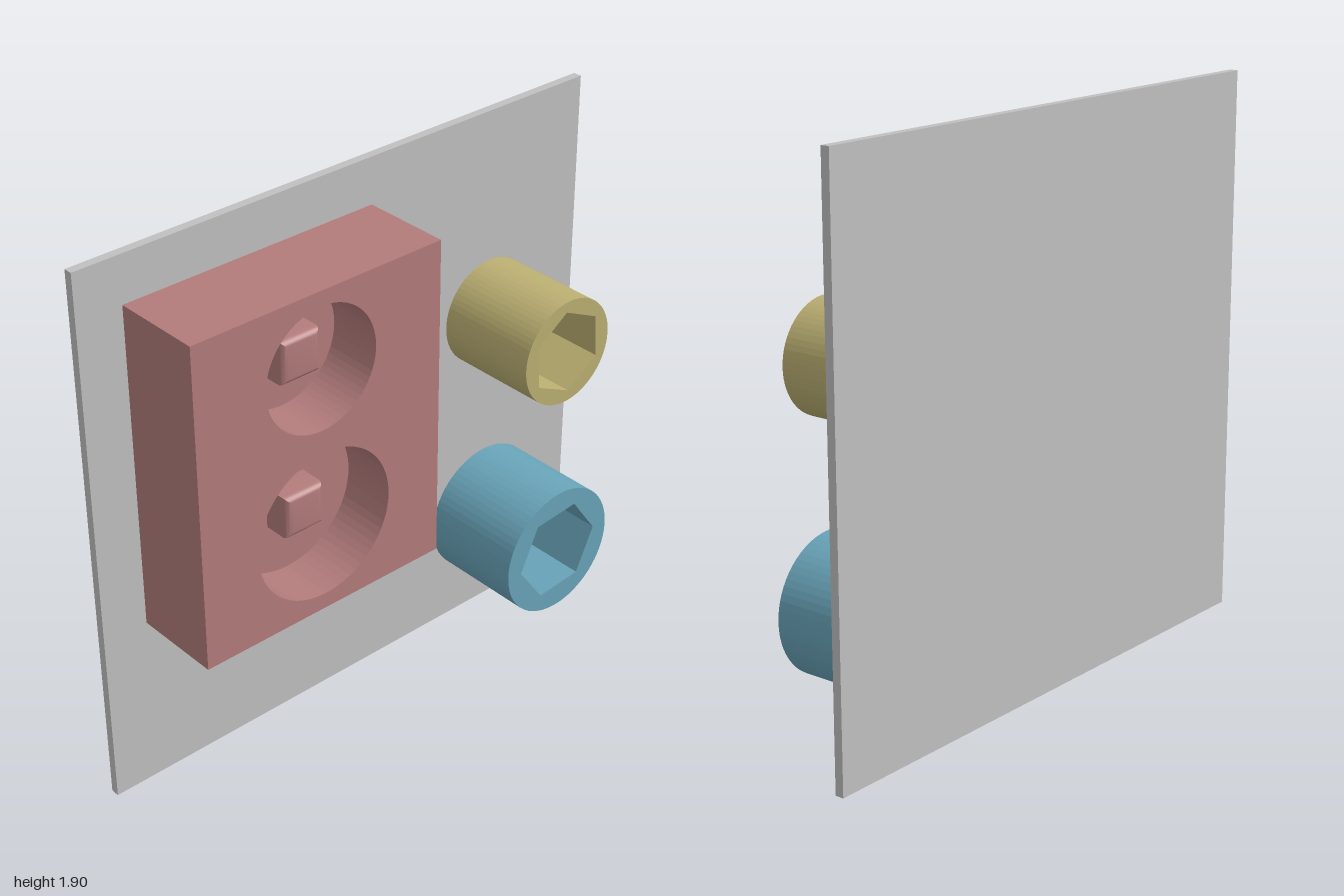
import * as THREE from 'three';
import { toCreasedNormals } from 'three/addons/utils/BufferGeometryUtils.js';

const material = (name, color) => new THREE.MeshStandardMaterial({ name, color });

const PLATE_FRONT = -0.17;

function addMesh(parent, name, geometry, mat) {
  const mesh = new THREE.Mesh(geometry, mat);
  mesh.name = name;
  parent.add(mesh);
  return mesh;
}

// Extrude a shape along z between two depths
function slab(shape, z0, z1) {
  return new THREE.ExtrudeGeometry(shape, {
    depth: z1 - z0, bevelEnabled: false, curveSegments: 32,
  }).translate(0, 0, z0);
}

function circle(ShapeType, x, y, r) {
  const s = new ShapeType();
  s.absarc(x, y, r, 0, Math.PI * 2, false);
  return s;
}

function rectangle(x0, y0, x1, y1) {
  return new THREE.Shape([[x0, y0], [x1, y0], [x1, y1], [x0, y1]]
    .map(([x, y]) => new THREE.Vector2(x, y)));
}

function hexagon(r, degrees) {
  const points = [];
  for (let i = 0; i < 6; i++) {
    const a = THREE.MathUtils.degToRad(degrees + i * 60);
    points.push(new THREE.Vector2(r * Math.cos(a), r * Math.sin(a)));
  }
  return new THREE.Path(points);
}

// Square peg pointing to +z, with rounded front edges
function pegGeometry(half, height, round) {
  const profile = [new THREE.Vector2(half, 0)];
  for (let i = 0; i <= 5; i++) {
    const a = (i / 5) * Math.PI / 2;
    profile.push(new THREE.Vector2(
      half - round + round * Math.cos(a), height - round + round * Math.sin(a)));
  }
  profile.push(new THREE.Vector2(0, height));
  profile.forEach((p) => { p.x *= Math.SQRT2; });
  const g = new THREE.LatheGeometry(profile, 4, Math.PI / 4).rotateX(Math.PI / 2);
  g.deleteAttribute('normal');
  return toCreasedNormals(g, 0.6);
}

// Round post with a hexagonal recess in its front end
function socketPost(name, x, y, r, hexRadius, hexAngle, mat) {
  const group = new THREE.Group();
  group.name = name;
  const floor = -0.02;
  const rim = circle(THREE.Shape, 0, 0, r);
  rim.holes.push(hexagon(hexRadius, hexAngle));
  addMesh(group, name + 'Rim', slab(rim, floor, 0.2), mat);
  addMesh(group, name + 'Base', slab(circle(THREE.Shape, 0, 0, r), PLATE_FRONT, floor), mat);
  group.position.set(x, y, 0);
  return group;
}

export function createModel() {
  const model = new THREE.Group();
  model.name = 'wallPanel';
  const gray = material('plate gray', 0xc0c0c0);
  const red = material('dusty red', 0xb27b7b);
  const yellow = material('muted yellow', 0xbbaf72);
  const blue = material('muted blue', 0x69a4b9);

  // Back plate
  addMesh(model, 'backPlate', slab(rectangle(-1, 0, 1, 1.9), -0.2, PLATE_FRONT), gray);

  // Block with two round recesses, each holding a square peg
  const block = new THREE.Group();
  block.name = 'recessedBlock';
  model.add(block);
  const floor = -0.05;
  const box = [-0.84, 0.615, 0.095, 1.74];
  const face = rectangle(...box);
  const recesses = [['upper', 1.48, 0.21], ['lower', 0.93, 0.26]];
  for (const [name, y, r] of recesses) {
    face.holes.push(circle(THREE.Path, -0.373, y, r));
    addMesh(block, name + 'Peg', pegGeometry(0.074, 0.1, 0.022), red)
      .position.set(-0.373, y, floor);
  }
  addMesh(block, 'blockFront', slab(face, floor, 0.14), red);
  addMesh(block, 'blockBase', slab(rectangle(...box), PLATE_FRONT, floor), red);

  // Hexagonal socket posts
  model.add(socketPost('smallSocket', 0.605, 1.18, 0.187, 0.15, 34.5, yellow));
  model.add(socketPost('largeSocket', 0.607, 0.395, 0.234, 0.174, 5.5, blue));

  return model;
}
